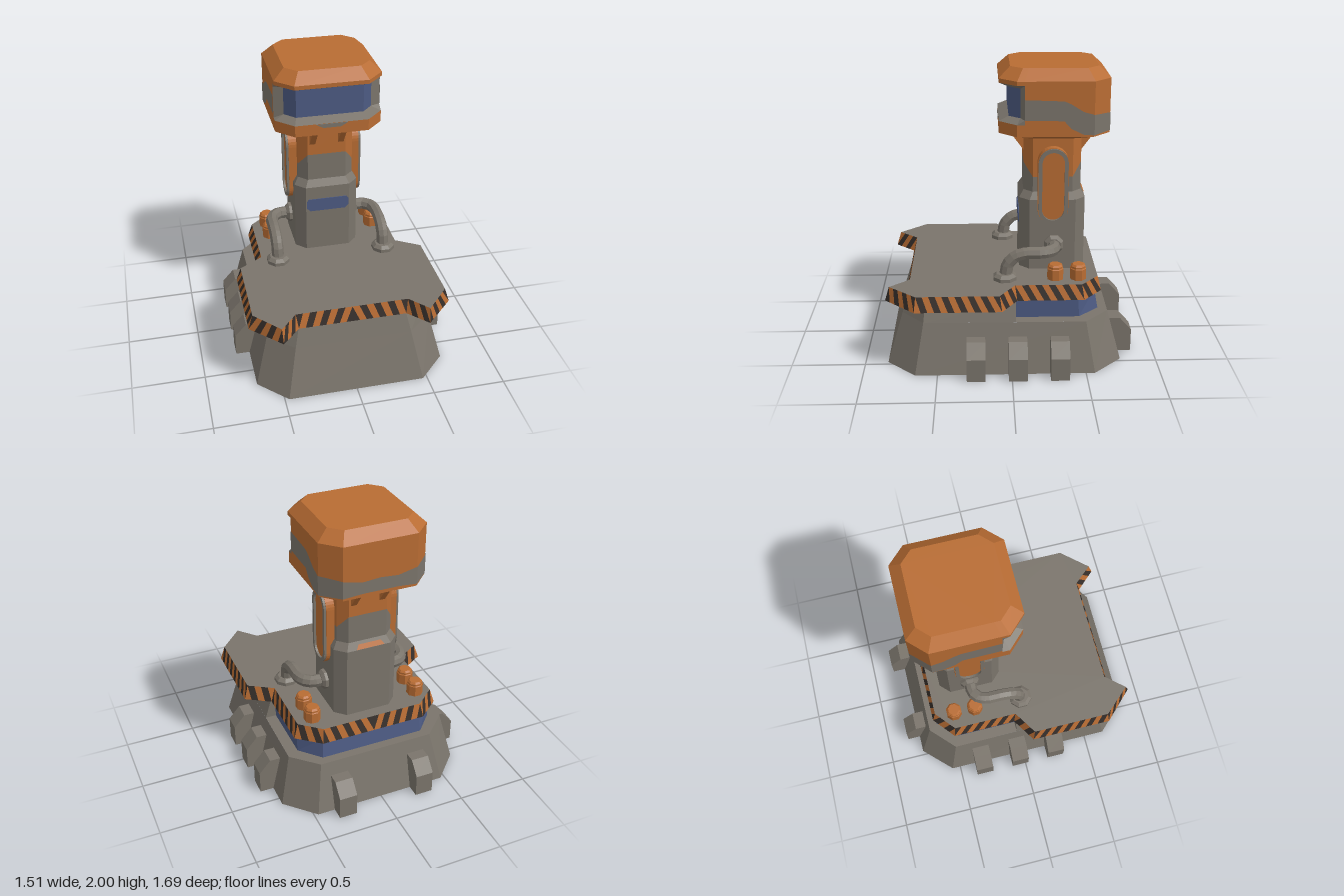
import * as THREE from 'three';

const mat = (name, color) => new THREE.MeshStandardMaterial({ name, color, flatShading: true, side: THREE.DoubleSide });
const mats = {
  grey: mat('grey metal', 0x7a746b), orange: mat('orange paint', 0xb86c33),
  blue: mat('blue glass', 0x4c5a82), dark: mat('dark stripe', 0x352e2a),
};
const ZC = -0.29; // tower axis

function mesh(parent, name, geo, key) {
  const m = new THREE.Mesh(geo, mats[key]);
  m.name = name;
  parent.add(m);
  return m;
}

// Right half of an outline (front to back) -> full outline
const full = half => [...half, ...half.filter(p => p[0] > 0).reverse().map(([x, ...r]) => [-x, ...r])];
// [x, z] outline -> 3D points at height y
const at = (pts, y, zc = 0) => pts.map(([x, z]) => [x, y, z + zc]);
// Octagon with half width h and half edge e
const oct = (h, e) => full([[e, h], [h, e], [h, -e], [e, -h]]);

// Skins rows of points from bottom to top; pick(row, column) chooses the colour
function loft(parent, name, rows, pick, closed = true) {
  const data = {};
  for (let r = 0; r < rows.length - 1; r++) {
    const n = rows[r].length;
    for (let i = 0; i < (closed ? n : n - 1); i++) {
      const j = (i + 1) % n, key = typeof pick === 'string' ? pick : pick(r, i);
      const [a, b, c, d] = [rows[r][i], rows[r][j], rows[r + 1][j], rows[r + 1][i]];
      (data[key] ??= []).push(...a, ...b, ...c, ...a, ...c, ...d);
    }
  }
  for (const key in data) {
    const g = new THREE.BufferGeometry();
    g.setAttribute('position', new THREE.Float32BufferAttribute(data[key], 3));
    g.computeVertexNormals();
    mesh(parent, name, g, key);
  }
}

function cap(parent, name, pts, y, key, zc = 0) {
  const g = new THREE.ShapeGeometry(new THREE.Shape(pts.map(([x, z]) => new THREE.Vector2(x, -z - zc))));
  g.rotateX(-Math.PI / 2).translate(0, y, 0);
  return mesh(parent, name, g, key);
}

// Side profile extruded to a width centred on its plane
function slab(parent, name, pts, width, key) {
  const g = new THREE.ExtrudeGeometry(new THREE.Shape(pts.map(p => new THREE.Vector2(...p))), { depth: width, bevelEnabled: false });
  return mesh(parent, name, g.translate(0, 0, -width / 2), key);
}

function buildBase(root) {
  const g = new THREE.Group(); g.name = 'base'; root.add(g);
  const low = full([[0.47, 0.845], [0.66, 0.65], [0.66, -0.56], [0.47, -0.755]]);
  const mid = full([[0.4, 0.74], [0.572, 0.59], [0.58, -0.5], [0.41, -0.662]]);
  loft(g, 'lowerHull', [at(low, 0), at(mid, 0.345)], 'grey');
  // Upper hull covers the front only; glass band wraps the rear
  const openFront = pts => [...pts.map(([x, z]) => [-x, z]), ...[...pts].reverse()];
  loft(g, 'upperHull', [
    at(openFront([[0.576, -0.03], [0.572, 0.59], [0.4, 0.74]]), 0.345),
    at(openFront([[0.535, -0.03], [0.53, 0.575], [0.37, 0.7]]), 0.48)], 'grey', false);
  const back = pts => full(pts);
  const glass = back([[0.5, -0.03], [0.5, -0.46], [0.37, -0.6]]);
  loft(g, 'rearLedge', [at(back([[0.576, -0.03], [0.58, -0.5], [0.41, -0.662]]), 0.345), at(glass, 0.345)], 'grey', false);
  loft(g, 'rearGlass', [at(glass, 0.345), at(back([[0.5, -0.03], [0.5, -0.45], [0.36, -0.575]]), 0.48)], 'blue', false);
  for (const s of [1, -1]) {
    loft(g, 'hullStep', [[[0.576 * s, 0.345, -0.03], [0.49 * s, 0.345, -0.03]], [[0.535 * s, 0.48, -0.03], [0.49 * s, 0.48, -0.03]]], 'grey', false);
  }
  // Buttress ribs
  const rib = (x, z, turn) => {
    const m = slab(g, 'rib', [[0, 0], [0.16, 0], [0.16, 0.16], [0.08, 0.25], [0, 0.25]], 0.125, 'grey');
    m.position.set(x, 0, z);
    m.rotation.y = turn;
  };
  for (const z of [0.24, -0.04, -0.32]) { rib(0.595, z, 0); rib(-0.595, z, Math.PI); }
  for (const x of [0.287, -0.287]) rib(x, -0.685, Math.PI / 2);
}

function buildDeck(root) {
  const g = new THREE.Group(); g.name = 'deck'; root.add(g);
  const lo = [[0, 0.71], [0.37, 0.71], [0.495, 0.845], [0.695, 0.64], [0.695, 0.065], [0.53, -0.04], [0.53, -0.49], [0.375, -0.62], [0, -0.62]];
  const hi = [[0, 0.683], [0.385, 0.683], [0.5, 0.815], [0.665, 0.63], [0.665, 0.08], [0.5, -0.025], [0.5, -0.475], [0.36, -0.595], [0, -0.595]];
  cap(g, 'deckTop', full(hi), 0.58, 'grey');
  cap(g, 'deckUnderside', full(lo), 0.48, 'grey');
  // Slanted warning stripes along the rim
  const mix = (p, q, t, y, s) => [s * (p[0] + (q[0] - p[0]) * t), y, p[1] + (q[1] - p[1]) * t];
  const clamp = t => Math.min(1, Math.max(0, t));
  for (const s of [1, -1]) {
    const strips = { low: [], high: [] }, keys = [];
    let count = 0;
    for (let e = 0; e < lo.length - 1; e++) {
      const n = Math.max(2, Math.round(Math.hypot(lo[e + 1][0] - lo[e][0], lo[e + 1][1] - lo[e][1]) / 0.046));
      for (let i = -1; i <= n; i++) {
        strips.low.push(mix(lo[e], lo[e + 1], clamp((i + 1) / n), 0.48, s));
        strips.high.push(mix(hi[e], hi[e + 1], clamp(i / n), 0.58, s));
        keys.push(count++ % 2 ? 'orange' : 'dark');
      }
      count++;
    }
    if (s < 0) { strips.low.reverse(); strips.high.reverse(); keys.reverse(); keys.shift(); }
    loft(g, 'warningRim', [strips.low, strips.high], (r, i) => keys[i], false);
  }
}

function buildTower(root) {
  const g = new THREE.Group(); g.name = 'tower'; root.add(g);
  const wide = oct(0.225, 0.157), slim = oct(0.195, 0.135);
  // Paint line sits higher on the front and rear faces
  const seam = slim.map(([x, z]) => [x, Math.abs(z) > 0.15 ? 1.33 : 1.24, z + ZC]);
  loft(g, 'column', [at(wide, 0.58, ZC), at(wide, 1.085, ZC), at(slim, 1.135, ZC), seam, at(slim, 1.53, ZC)],
    r => r === 3 ? 'orange' : 'grey');
  // Slot window
  slab(g, 'slotWindow', [[-0.125, 0.895], [0.125, 0.895], [0.152, 0.92], [0.152, 0.97], [0.135, 0.99], [-0.135, 0.99], [-0.152, 0.97], [-0.152, 0.92]], 0.008, 'blue')
    .position.z = ZC + 0.226;
  // Worn patch on the rear shoulder
  loft(g, 'wornPatch', [[[0.09, 1.088, ZC - 0.228], [-0.11, 1.088, ZC - 0.228]], [[0.07, 1.118, ZC - 0.21], [-0.09, 1.118, ZC - 0.21]]], 'orange', false);
  // Gussets below the head
  for (const x of [0.1, -0.1]) for (const s of [1, -1]) {
    const m = slab(g, 'gusset', [[0.17, 1.41], [0.195, 1.41], [0.295, 1.545], [0.17, 1.545]], 0.04, 'orange');
    m.rotation.y = -s * Math.PI / 2;
    m.position.set(x, 0, ZC);
  }
  // Side pods
  const stadium = (r, h, C = THREE.Shape) => {
    const p = new C();
    p.absarc(0, h, r, 0, Math.PI, false);
    p.absarc(0, -h, r, Math.PI, 2 * Math.PI, false);
    p.closePath();
    return p;
  };
  const ex = (shape, depth) => new THREE.ExtrudeGeometry(shape, { depth, bevelEnabled: false, curveSegments: 8 });
  for (const s of [1, -1]) {
    const pod = new THREE.Group(); pod.name = 'sidePod'; g.add(pod);
    pod.position.set(0.17 * s, 1.19, ZC);
    pod.rotation.y = s * Math.PI / 2;
    mesh(pod, 'podBody', ex(stadium(0.104, 0.163), 0.082), 'orange');
    const rim = stadium(0.1, 0.163);
    rim.holes.push(stadium(0.075, 0.163, THREE.Path));
    mesh(pod, 'podRim', ex(rim, 0.015), 'grey').position.z = 0.082;
  }
}

function buildHead(root) {
  const g = new THREE.Group(); g.name = 'head'; root.add(g);
  const neck = full([[0.135, 0.2], [0.2, 0.135], [0.2, 0.11], [0.2, -0.135], [0.135, -0.2]]);
  const outer = full([[0.25, 0.365], [0.365, 0.25], [0.365, 0.2], [0.365, -0.25], [0.25, -0.365]]);
  const visor = full([[0.23, 0.3], [0.3, 0.225], [0.365, 0.2], [0.365, -0.25], [0.25, -0.365]]);
  const top = full([[0.21, 0.29], [0.29, 0.21], [0.29, 0.17], [0.29, -0.21], [0.21, -0.29]]);
  const rows = [[neck, 1.51], [outer, 1.565], [outer, 1.645], [visor, 1.675], [visor, 1.87], [outer, 1.9], [outer, 1.928], [top, 2]];
  loft(g, 'headShell', rows.map(([p, y]) => at(p, y, ZC)), (r, i) => {
    const glass = [0, 8, 9].includes(i), frame = glass || i === 1 || i === 7;
    if (r < 2 || r > 4 || !frame) return 'orange';
    return r === 3 && glass ? 'blue' : 'grey';
  });
  cap(g, 'headTop', top, 2, 'orange', ZC);
  cap(g, 'headUnderside', neck, 1.51, 'orange', ZC);
  // Bare metal band: x, z, lower and upper height
  const band = full([[0.368, 0.2, 1.675, 1.81], [0.368, -0.055, 1.67, 1.8], [0.368, -0.1, 1.62, 1.78], [0.368, -0.18, 1.58, 1.73],
    [0.368, -0.252, 1.575, 1.71], [0.252, -0.368, 1.58, 1.7], [0.12, -0.368, 1.59, 1.67], [0, -0.368, 1.59, 1.68]]);
  loft(g, 'metalBand', [2, 3].map(k => band.map(p => [p[0], p[k], p[1] + ZC])), 'grey', false);
  slab(g, 'chinPatch', [[-0.06, 1.615], [0.06, 1.615], [0.11, 1.643], [-0.11, 1.643]], 0.006, 'grey').position.z = ZC + 0.366;
}

function buildFittings(root) {
  const g = new THREE.Group(); g.name = 'deckFittings'; root.add(g);
  const lathe = pts => new THREE.LatheGeometry(pts.map(p => new THREE.Vector2(...p)), 8, Math.PI / 8);
  for (const s of [1, -1]) {
    // Bent pipe with flanges at both ends
    const pts = [[0.2, 0.765, -0.3], [0.32, 0.765, -0.3], [0.37, 0.765, -0.26], [0.387, 0.765, -0.2], [0.387, 0.765, -0.1],
      [0.387, 0.745, -0.03], [0.387, 0.69, 0.022], [0.387, 0.58, 0.04]];
    const path = new THREE.CurvePath();
    const v = pts.map(([x, y, z]) => new THREE.Vector3(x * s, y, z));
    for (let i = 1; i < v.length; i++) path.add(new THREE.LineCurve3(v[i - 1], v[i]));
    mesh(g, 'pipe', new THREE.TubeGeometry(path, 24, 0.043, 8), 'grey');
    const flange = [[0.083, 0], [0.083, 0.025], [0.06, 0.045], [0, 0.045]];
    mesh(g, 'floorFlange', lathe(flange), 'grey').position.set(0.387 * s, 0.58, 0.04);
    const wall = mesh(g, 'wallFlange', lathe(flange), 'grey');
    wall.scale.set(0.85, 1, 0.85);
    wall.rotation.z = -s * Math.PI / 2;
    wall.position.set(0.22 * s, 0.765, -0.3);
    // Capped canisters
    for (const z of [-0.302, -0.457]) {
      mesh(g, 'canister', lathe([[0.057, 0], [0.057, 0.075], [0.052, 0.08], [0.052, 0.093], [0.04, 0.105], [0, 0.105]]), 'orange')
        .position.set(0.387 * s, 0.58, z);
    }
  }
}

export function createModel() {
  const root = new THREE.Group();
  root.name = 'sentryTower';
  for (const build of [buildBase, buildDeck, buildTower, buildHead, buildFittings]) build(root);
  return root;
}
